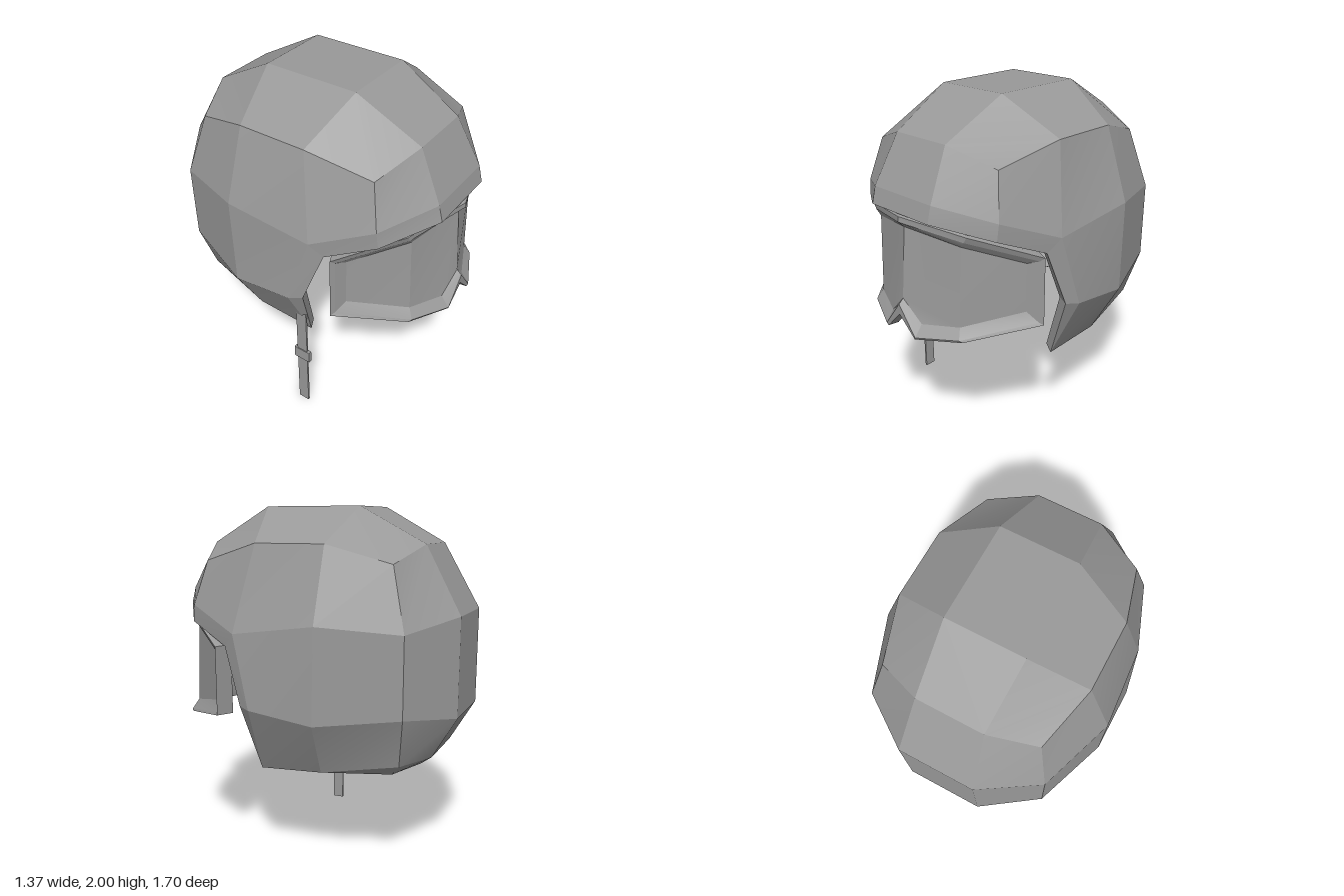
import * as THREE from 'three';

const material = new THREE.MeshStandardMaterial({ color: 0x999999 });

// Faceted mesh from polygons, each a loop of [x, y, z] corners; no corners are shared between facets
function polyMesh(name, polygons) {
  const pos = [], index = [];
  for (const p of polygons) {
    const first = pos.length / 3;
    pos.push(...p.flat());
    for (let i = 1; i < p.length - 1; i++) index.push(first, first + i, first + i + 1);
  }
  const g = new THREE.BufferGeometry();
  g.setAttribute('position', new THREE.Float32BufferAttribute(pos, 3));
  g.setIndex(index);
  g.computeVertexNormals();
  const mesh = new THREE.Mesh(g, material);
  mesh.name = name;
  return mesh;
}

const flip = ([x, y, z]) => [-x, y, z];
const mirrorPoly = (p) => p.map(flip).reverse();
const withMirror = (polys) => [...polys, ...polys.map(mirrorPoly)];

// Left half of the shell: t/u crown, f front, c front corner, s/r side, k back corner, b back,
// e temple, m bevelled cheek edge
const shell = {
  t: [0.22, 2, 0.275], u: [0.22, 2, -0.28],
  f0: [0.185, 1.8, 0.64], f1: [0.22, 1.53, 0.78], f2: [0.22, 1.437, 0.805],
  c0: [0.45, 1.705, 0.54], c1: [0.51, 1.46, 0.6], c2: [0.505, 1.365, 0.61],
  e: [0.607, 1.255, 0.35], m: [0.65, 0.94, 0.24],
  s0: [0.54, 1.805, 0.19], s1: [0.645, 1.33, 0.28], s2: [0.687, 0.93, 0.17], s3: [0.51, 0.557, 0.185],
  r0: [0.54, 1.805, -0.21], r1: [0.682, 1.4, -0.21], r2: [0.685, 0.88, -0.2], r3: [0.52, 0.58, -0.18],
  k0: [0.45, 1.705, -0.55], k1: [0.53, 1.36, -0.64], k2: [0.53, 0.92, -0.64], k3: [0.45, 0.645, -0.6],
  k4: [0.41, 0.585, -0.55],
  b0: [0.19, 1.8, -0.645], b1: [0.22, 1.43, -0.85], b2: [0.22, 0.88, -0.85], b3: [0.2, 0.64, -0.71],
  b4: [0.17, 0.585, -0.64],
};
const shellFaces = [
  'f1 c1 c0 f0', 'f2 c2 c1 f1', 'f0 c0 s0 t', 't s0 r0 u', 'u r0 k0 b0',
  'c1 s1 s0 c0', 's1 r1 r0 s0', 'r1 k1 k0 r0', 'c2 e s1 c1', 'e s2 s1', 'e m s2', 'm s3 s2',
  's2 r2 r1 s1', 'r2 k2 k1 r1', 's3 r3 r2 s2', 'r3 k3 k2 r2', 'r3 k4 k3',
  'k1 b1 b0 k0', 'k2 b2 b1 k1', 'k3 b3 b2 k2', 'k4 b4 b3 k3',
].map((s) => s.split(' '));
const spine = ['f2', 'f1', 'f0', 't', 'u', 'b0', 'b1', 'b2', 'b3', 'b4'];
const edge = ['f2', 'c2', 'e', 'm', 's3', 'r3', 'k4', 'b4'];

const outer = (n) => shell[n];
// Lining: the outer points drawn in
function inner(n) {
  const [x, y, z] = shell[n];
  return [x * 0.91, 1.2 + (y - 1.2) * 0.95, z * 0.91];
}

function helmet() {
  const group = new THREE.Group();
  group.name = 'helmet';
  const skin = (point) => {
    const polys = withMirror(shellFaces.map((f) => f.map(point)));
    for (let i = 0; i < spine.length - 1; i++) {
      const a = point(spine[i]), b = point(spine[i + 1]);
      polys.push([a, b, flip(b), flip(a)]);
    }
    return polys;
  };
  // Rim joining shell and lining round the opening
  const rim = edge.slice(1).map((b, i) => [outer(b), outer(edge[i]), inner(edge[i]), inner(b)]);
  const brow = [outer('f2'), flip(outer('f2')), flip(inner('f2')), inner('f2')];
  const nape = [flip(outer('b4')), outer('b4'), inner('b4'), flip(inner('b4'))];
  group.add(
    polyMesh('helmetShell', skin(outer)),
    polyMesh('helmetLining', skin(inner).map((p) => p.reverse())),
    polyMesh('helmetRim', [...withMirror(rim), brow, nape]),
  );
  return group;
}

function goggles() {
  const group = new THREE.Group();
  group.name = 'goggles';
  // Half outlines from the top centre round to the nose notch
  const front = [[0, 1.43, 0.82], [0.37, 1.38, 0.695], [0.625, 1.252, 0.395], [0.625, 0.868, 0.395],
    [0.36, 0.797, 0.73], [0.11, 0.767, 0.845], [0, 0.88, 0.85]];
  const lip = [[0, 1.4, 0.822], [0.35, 1.348, 0.697], [0.6, 1.232, 0.41], [0.6, 0.882, 0.41],
    [0.345, 0.808, 0.742], [0.12, 0.782, 0.85], [0, 0.94, 0.85]];
  const lens = [[0, 1.365, 0.785], [0.32, 1.315, 0.69], [0.54, 1.212, 0.44], [0.54, 0.935, 0.44],
    [0.32, 0.865, 0.71], [0.12, 0.845, 0.8], [0, 0.965, 0.82]];
  const back = [[0, 1.44, 0.765], [0.33, 1.405, 0.64], [0.53, 1.255, 0.35], [0.53, 0.865, 0.35],
    [0.31, 0.79, 0.665], [0.1, 0.767, 0.785], [0, 0.87, 0.8]];

  // Frame: strips from the back outline over the front edge to the lens
  const rings = [back, front, lip, lens];
  const frame = [];
  for (let k = 0; k < rings.length - 1; k++) {
    const a = rings[k], b = rings[k + 1];
    for (let i = 0; i < a.length - 1; i++) frame.push([a[i], b[i], b[i + 1], a[i + 1]]);
  }
  // Panel filling an outline: one side facet and one nose facet per half
  const panel = ([t0, t1, t2, b2, b1, n, b0]) => withMirror([[t2, t1, b1, b2], [b0, n, b1, t1, t0]]);
  group.add(
    polyMesh('goggleFrame', withMirror(frame)),
    polyMesh('goggleLens', panel(lens)),
    polyMesh('goggleBack', panel(back).map((p) => p.reverse())),
  );
  group.position.x = 0.01;
  return group;
}

function box(name, size, position) {
  const mesh = new THREE.Mesh(new THREE.BoxGeometry(...size), material);
  mesh.name = name;
  mesh.position.set(...position);
  return mesh;
}

export function createModel() {
  const model = new THREE.Group();
  model.name = 'helmetWithGoggles';
  model.add(helmet(), goggles());
  // Chin strap hanging on the right side only
  model.add(
    box('chinStrap', [0.012, 0.74, 0.068], [-0.581, 0.37, 0.172]),
    box('strapBuckle', [0.022, 0.075, 0.105], [-0.581, 0.397, 0.172]),
  );
  return model;
}
